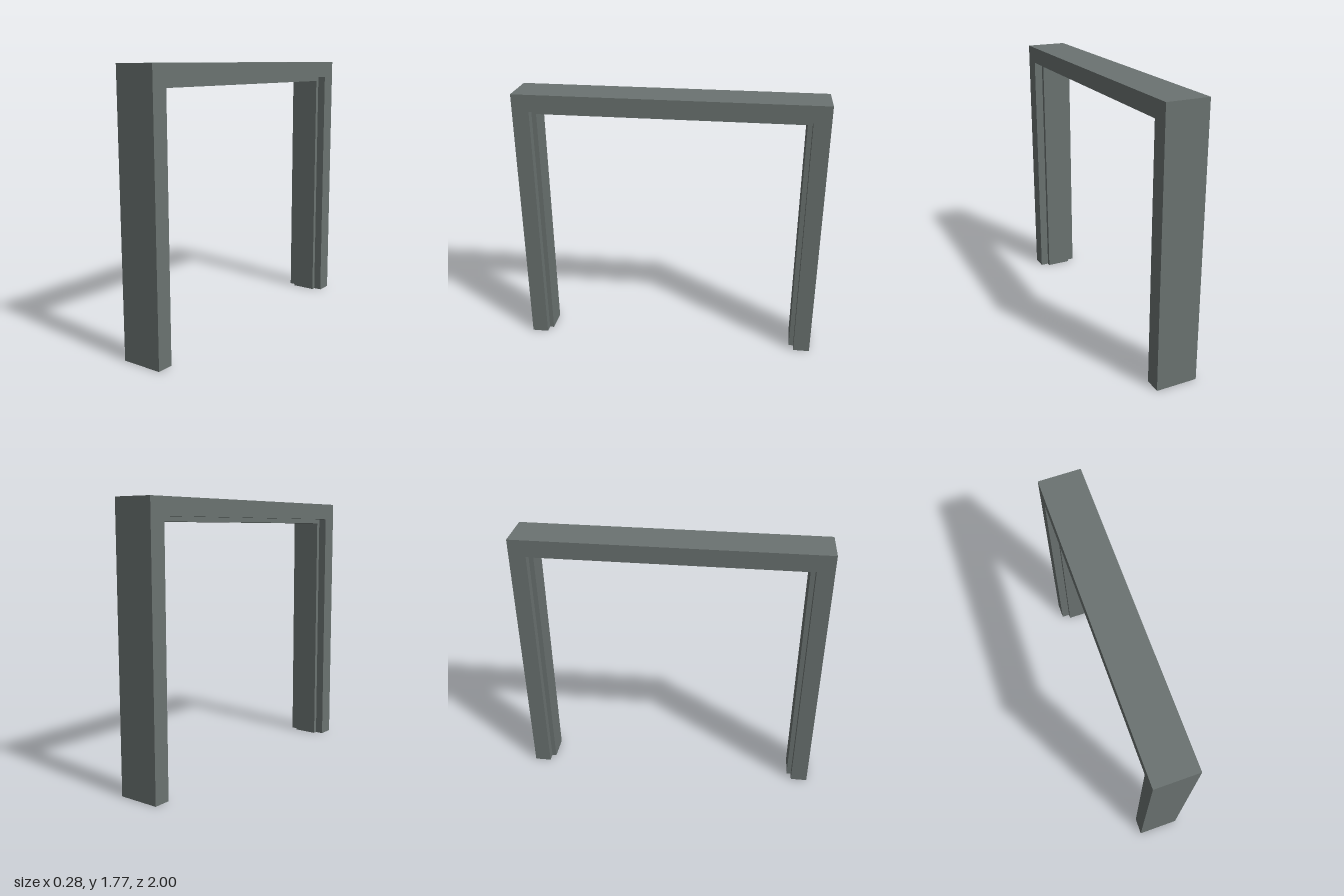
import * as THREE from 'three';

const W = 0.138, STOP = 0.083, H = 1.775, JAMB = 0.11, DEEP = 0.14;

// Jamb cross-section: [x, distance inward from the outer face]
const profile = [
  [W, 0], [W, JAMB], [STOP, JAMB], [STOP, DEEP],
  [-STOP, DEEP], [-STOP, JAMB], [-W, JAMB], [-W, 0],
];

// Mitred stations of the U-shaped path: foot, corner, corner, foot
const stations = [
  ([x, d]) => [x, 0, 1 - d],
  ([x, d]) => [x, H - d, 1 - d],
  ([x, d]) => [x, H - d, d - 1],
  ([x, d]) => [x, 0, d - 1],
];

// Flat-faced hollow length of frame between two stations, open at its ends
function sweep(from, to) {
  const positions = [];
  profile.forEach((p, i) => {
    const q = profile[(i + 1) % profile.length];
    const a = from(p), b = from(q), c = to(q), d = to(p);
    positions.push(...a, ...b, ...d, ...b, ...c, ...d);
  });
  const geometry = new THREE.BufferGeometry();
  geometry.setAttribute('position', new THREE.Float32BufferAttribute(positions, 3));
  geometry.computeVertexNormals();
  return geometry;
}

export function createModel() {
  const group = new THREE.Group();
  group.name = 'doorFrame';
  const paint = new THREE.MeshStandardMaterial({ color: 0x6b7371, side: THREE.DoubleSide });
  paint.name = 'greyPaint';

  // Two uprights joined by the head
  ['frontJamb', 'head', 'backJamb'].forEach((name, i) => {
    const mesh = new THREE.Mesh(sweep(stations[i], stations[i + 1]), paint);
    mesh.name = name;
    group.add(mesh);
  });
  return group;
}
